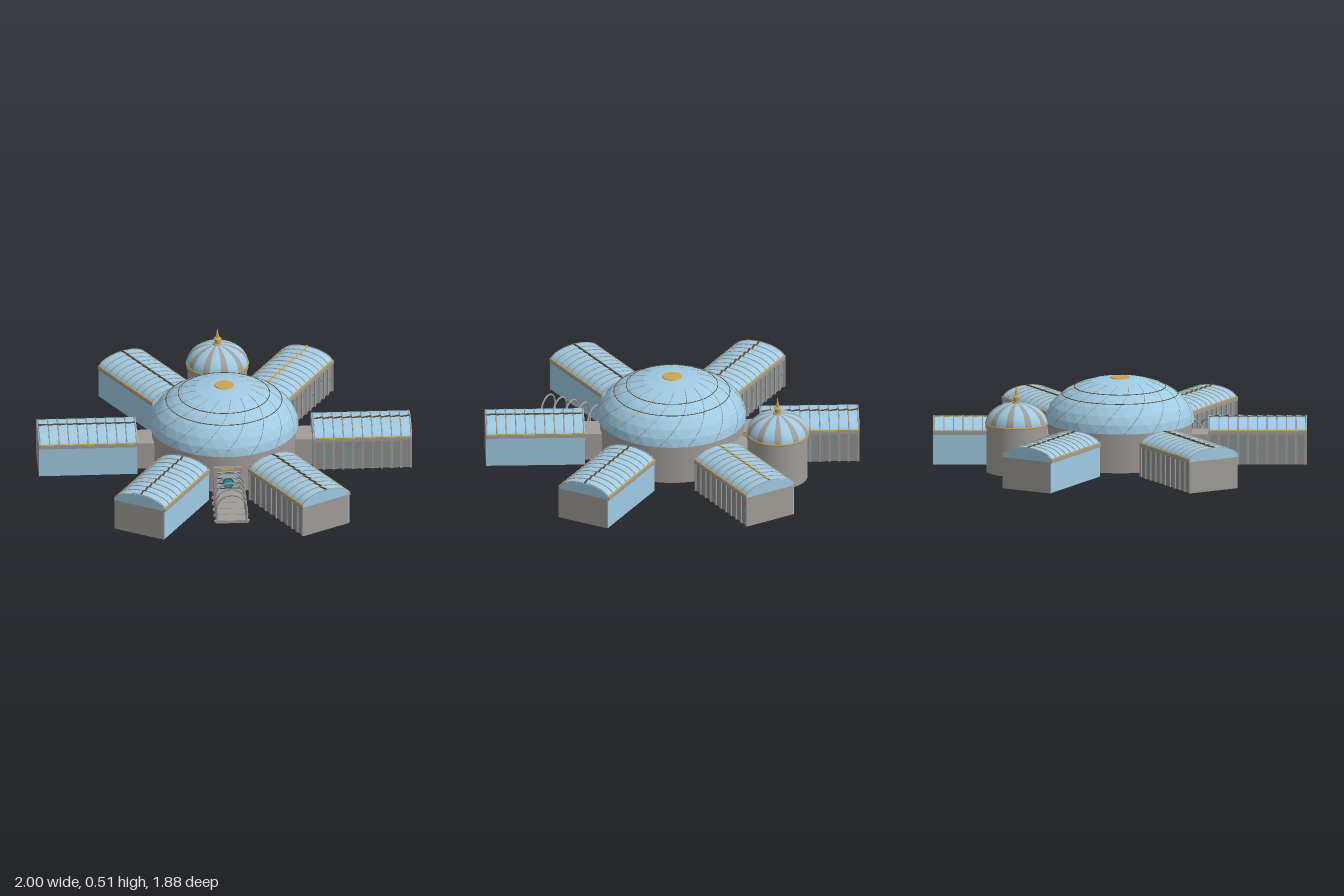
import * as THREE from 'three';

const mat = (name, color, extra = {}) => {
  const m = new THREE.MeshStandardMaterial({ color, ...extra });
  m.name = name;
  return m;
};

export function createModel() {
  const stone = mat('stone', 0xa09d98);
  const panel = mat('panel grey', 0x8c9092);
  const glass = mat('glass', 0x9fcae2);
  const facet = mat('faceted glass', 0x9fcae2, { flatShading: true });
  const gold = mat('gold', 0xcaa552);
  const bronze = mat('bronze', 0x5c4a30);
  const teal = mat('teal', 0x22a3bb, { side: THREE.DoubleSide });

  const root = new THREE.Group();
  root.name = 'conservatory';
  const add = (parent, name, geo, material, x = 0, y = 0, z = 0) => {
    const m = new THREE.Mesh(geo, material);
    m.name = name;
    m.position.set(x, y, z);
    parent.add(m);
    return m;
  };
  const box = (parent, name, w, h, d, material, x, y, z) =>
    add(parent, name, new THREE.BoxGeometry(w, h, d), material, x, y, z);
  const cyl = (parent, name, r0, r1, h, material, x, y, z, n = 48) =>
    add(parent, name, new THREE.CylinderGeometry(r1, r0, h, n), material, x, y, z);
  const ring = (parent, name, r, t, material, y, z = 0) => {
    const m = add(parent, name, new THREE.TorusGeometry(r, t, 6, 64), material, 0, y, z);
    m.rotation.x = Math.PI / 2;
    return m;
  };

  // Hollow foot with a round window in its underside
  const foot = [[0.08, 0.052], [0.08, 0], [0.135, 0], [0.135, 0.052]].map(p => new THREE.Vector2(...p));
  const footGeo = new THREE.LatheGeometry(foot, 48).toNonIndexed();
  footGeo.computeVertexNormals();
  add(root, 'foot', footGeo, stone);
  cyl(root, 'footWindow', 0.055, 0.055, 0.006, teal, 0, 0.044, 0);

  // Central hall and its twisted, faceted dome
  cyl(root, 'hall', 0.385, 0.385, 0.22, stone, 0, 0.16, 0, 64);
  const A = 0.398, H = 0.235, Y0 = 0.263;
  const onDome = (theta, phi, lift = 0) => {
    const p = phi + 0.55 * theta;
    const r = (A + lift) * Math.sin(theta);
    return new THREE.Vector3(r * Math.cos(p), Y0 + (H + lift) * Math.cos(theta), r * Math.sin(p));
  };
  const domeGeo = new THREE.SphereGeometry(1, 32, 8, 0, Math.PI * 2, 0, Math.PI / 2);
  const dp = domeGeo.attributes.position;
  for (let i = 0; i < dp.count; i++) {
    const theta = Math.acos(Math.min(1, dp.getY(i)));
    const v = onDome(theta, Math.atan2(dp.getZ(i), dp.getX(i)));
    dp.setXYZ(i, v.x, v.y, v.z);
  }
  domeGeo.computeVertexNormals();
  add(root, 'hallDome', domeGeo, facet);
  const soffit = add(root, 'hallDomeSoffit', new THREE.CircleGeometry(A, 48), stone, 0, Y0, 0);
  soffit.rotation.x = Math.PI / 2;
  for (let i = 0; i < 16; i++) {
    const pts = [];
    for (let k = 2; k <= 8; k++) pts.push(onDome((k * Math.PI) / 16, (i * Math.PI) / 8));
    add(root, 'domeStrut', new THREE.TubeGeometry(new THREE.CatmullRomCurve3(pts), 12, 0.0015, 4), stone);
  }
  for (const r of [0.245, 0.31]) {
    ring(root, 'domeHoop', r, 0.002, bronze, Y0 + H * Math.sqrt(1 - (r / A) ** 2));
  }
  cyl(root, 'domeCap', 0.053, 0.05, 0.006, gold, 0, 0.497, 0, 32);

  // Six vaulted wings, each running outwards along its own x
  const X0 = 0.47, X1 = 0.998, L = X1 - X0, XM = (X0 + X1) / 2, EAVE = 0.22, RISE = 0.063;
  const vault = new THREE.Shape();
  vault.absellipse(0, 0, 0.15, RISE, 0, Math.PI, false);
  vault.closePath();
  const vaultGeo = new THREE.ExtrudeGeometry(vault, { depth: L, bevelEnabled: false, curveSegments: 20 });
  vaultGeo.rotateY(Math.PI / 2);
  const ribPts = [];
  for (let i = 0; i <= 16; i++) {
    const a = (i * Math.PI) / 16;
    ribPts.push(new THREE.Vector3(0, RISE * Math.sin(a), 0.15 * Math.cos(a)));
  }
  const ribGeo = new THREE.TubeGeometry(new THREE.CatmullRomCurve3(ribPts), 24, 0.0035, 5);
  const BAYS = 10;

  for (let w = 0; w < 6; w++) {
    const wing = new THREE.Group();
    wing.name = 'wing';
    wing.rotation.y = (w * Math.PI) / 3;
    root.add(wing);

    box(wing, 'wingLink', 0.13, 0.15, 0.165, stone, 0.415, 0.125, 0);
    box(wing, 'wingBody', L, 0.17, 0.284, stone, XM, 0.135, 0);
    box(wing, 'glassWall', L, 0.166, 0.006, glass, XM, 0.135, -0.144);
    box(wing, 'panelWall', L - 0.01, 0.16, 0.004, panel, XM, 0.133, 0.143);
    add(wing, 'vaultRoof', vaultGeo, glass, X0, EAVE, 0);
    for (const s of [-1, 1]) {
      box(wing, 'eave', L, 0.018, 0.012, stone, XM, 0.223, s * 0.147);
      box(wing, 'eaveTrim', L, 0.005, 0.01, gold, XM, 0.2345, s * 0.146);
    }
    for (let i = 0; i <= BAYS; i++) {
      const x = X0 + 0.006 + (i * (L - 0.012)) / BAYS;
      add(wing, 'roofRib', ribGeo, stone, x, EAVE, 0);
      box(wing, 'pilaster', 0.012, 0.165, 0.01, stone, x, 0.133, 0.146);
      if (i < BAYS) {
        const mid = x + (L - 0.012) / BAYS / 2;
        const crest = box(wing, 'ridgeCrest', 0.056, 0.006, 0.008, w === 1 ? gold : bronze, mid, 0.285, 0);
        crest.rotation.set(0, 0.2, 0.08);
        if (i % 2) box(wing, 'wallLamp', 0.009, 0.009, 0.004, teal, mid, 0.11 + 0.02 * (i % 4), 0.146);
      }
    }
  }

  // Rear rotunda with a striped dome, lantern and spire
  const rot = new THREE.Group();
  rot.name = 'rotunda';
  rot.position.z = -0.64;
  root.add(rot);
  box(root, 'rotundaLink', 0.15, 0.15, 0.16, stone, 0, 0.125, -0.42);
  cyl(rot, 'rotundaDrum', 0.16, 0.16, 0.26, stone, 0, 0.18, 0);
  cyl(rot, 'rotundaCornice', 0.166, 0.166, 0.022, stone, 0, 0.297, 0);
  ring(rot, 'rotundaTrim', 0.164, 0.005, gold, 0.311);
  const STRIPES = 10, step = (Math.PI * 2) / STRIPES;
  for (let i = 0; i < STRIPES; i++) {
    for (const [name, start, len, m] of [['domePane', 0, 0.62, glass], ['domeStripe', 0.62, 0.38, stone]]) {
      const g = new THREE.SphereGeometry(0.165, 6, 12, (i + start) * step, len * step, 0, Math.PI / 2);
      add(rot, name, g, m, 0, 0.31, 0).scale.y = 0.68;
    }
  }
  cyl(rot, 'lanternBase', 0.026, 0.022, 0.012, gold, 0, 0.423, 0, 16);
  cyl(rot, 'lantern', 0.016, 0.016, 0.03, stone, 0, 0.442, 0, 12);
  cyl(rot, 'lanternCap', 0.022, 0.014, 0.008, gold, 0, 0.459, 0, 16);
  cyl(rot, 'spire', 0.01, 0.001, 0.052, gold, 0, 0.488, 0, 10);

  // Entrance walk beneath five slender arches
  box(root, 'walk', 0.17, 0.014, 0.4, stone, 0, 0.057, 0.56);
  const archGeo = new THREE.TorusGeometry(0.08, 0.005, 6, 24, Math.PI);
  for (let i = 0; i < 5; i++) {
    const z = 0.47 + i * 0.0705;
    add(root, 'walkArch', archGeo, stone, 0, 0.133, z);
    box(root, 'walkSill', 0.188, 0.012, 0.01, stone, 0, 0.06, z);
    for (const s of [-1, 1]) {
      cyl(root, 'walkColumn', 0.007, 0.006, 0.085, stone, s * 0.08, 0.092, z, 8);
      cyl(root, 'walkColumnFoot', 0.011, 0.011, 0.014, stone, s * 0.08, 0.06, z, 8);
    }
  }

  // Doorway on the hall front
  box(root, 'doorSurround', 0.15, 0.15, 0.03, stone, 0, 0.125, 0.38);
  box(root, 'doorGlass', 0.12, 0.12, 0.006, glass, 0, 0.115, 0.397);
  for (let i = 0; i < 4; i++) box(root, 'doorBar', 0.12, 0.004, 0.006, bronze, 0, 0.08 + i * 0.03, 0.4);
  box(root, 'doorLintel', 0.07, 0.012, 0.008, gold, 0, 0.188, 0.399);
  const pane = cyl(root, 'doorRoundPane', 0.025, 0.025, 0.006, teal, 0, 0.112, 0.404, 24);
  pane.rotation.x = Math.PI / 2;
  add(root, 'doorRoundFrame', new THREE.TorusGeometry(0.027, 0.004, 6, 24), bronze, 0, 0.112, 0.404);

  return root;
}
